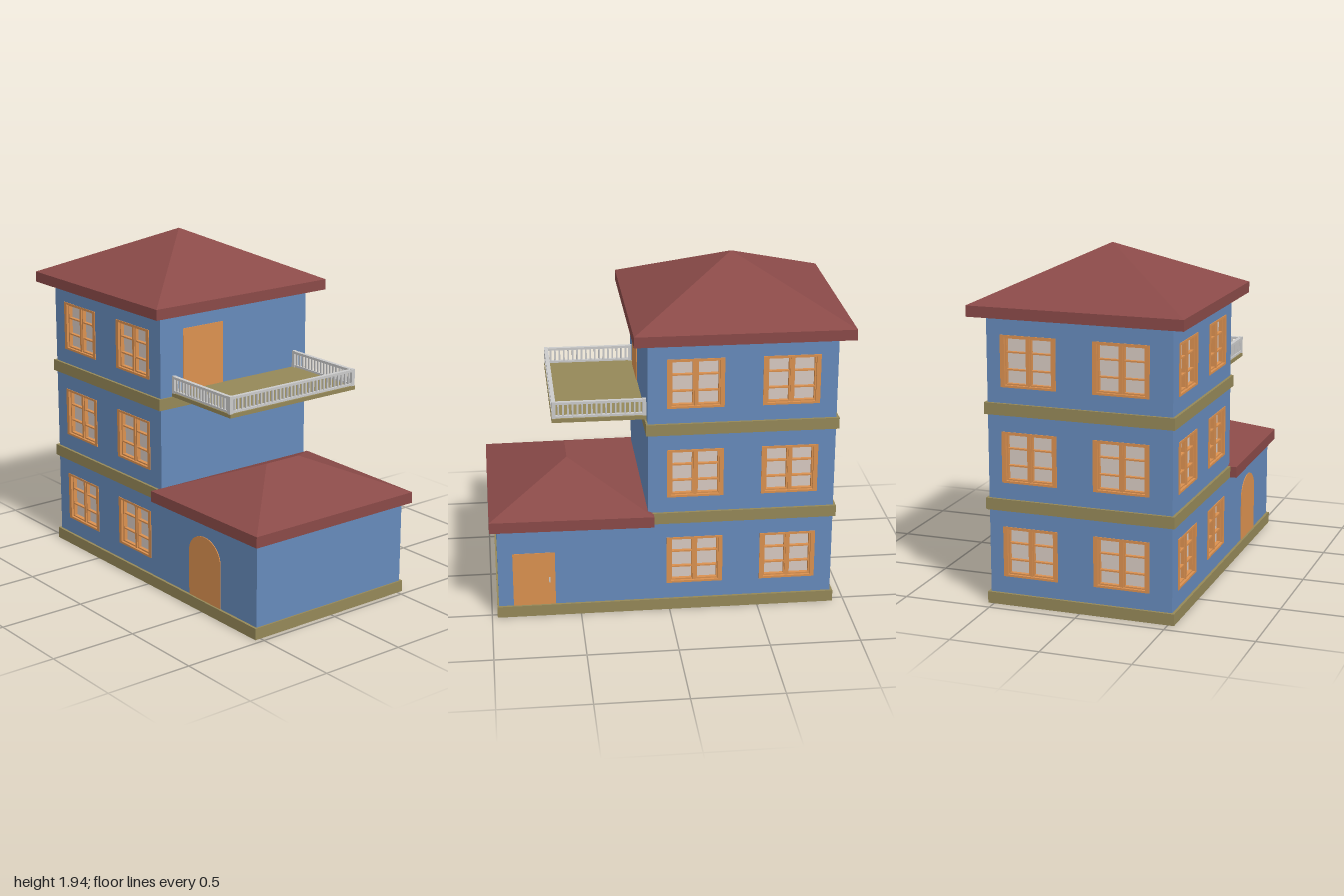
import * as THREE from 'three';
import { ConvexGeometry } from 'three/addons/geometries/ConvexGeometry.js';

const mat = (color) => new THREE.MeshStandardMaterial({ color, flatShading: true });
const WALL = mat(0x668abb), ROOF = mat(0x8a4a48), STONE = mat(0x958858);
const WOOD = mat(0xdb9150), GLASS = mat(0xd8cac2), GREY = mat(0xcccccc);
const T = 0.04; // wall thickness

function add(parent, name, geometry, material) {
  const mesh = new THREE.Mesh(geometry, material);
  mesh.name = name;
  parent.add(mesh);
  return mesh;
}

// Box given by its limits
function box(parent, name, material, x0, x1, y0, y1, z0, z1) {
  const m = add(parent, name, new THREE.BoxGeometry(x1 - x0, y1 - y0, z1 - z0), material);
  m.position.set((x0 + x1) / 2, (y0 + y1) / 2, (z0 + z1) / 2);
  return m;
}

function group(parent, name) {
  const g = new THREE.Group();
  g.name = name;
  parent.add(g);
  return g;
}

const poly = (pts) => pts.map(([x, y]) => new THREE.Vector2(x, y));
const rect = (x0, x1, y0, y1) => poly([[x0, y0], [x1, y0], [x1, y1], [x0, y1]]);

// Opening with an elliptical head
function arch(cx, halfW, y0, spring, rise) {
  const pts = [[cx - halfW, y0], [cx + halfW, y0]];
  for (let i = 0; i <= 20; i++) {
    const a = (Math.PI * i) / 20;
    pts.push([cx + halfW * Math.cos(a), spring + rise * Math.sin(a)]);
  }
  return poly(pts);
}

function slab(outline, holes, depth) {
  const s = new THREE.Shape(outline);
  s.holes = holes.map((h) => new THREE.Path(h));
  return new THREE.ExtrudeGeometry(s, { depth, bevelEnabled: false });
}

// Wall with its outer face on local z = 0, facing +z
function wall(parent, name, outline, holes, position, angle) {
  const g = group(parent, name);
  g.position.set(...position);
  g.rotation.y = angle;
  add(g, name + 'Panel', slab(outline, holes, T), WALL).position.z = -T;
  return g;
}

// Flat ring around the building: stone course
function course(parent, name, x1, y0, y1, holeX1) {
  const g = slab(rect(-0.935, x1, -0.535, 0.535), [rect(-0.885, holeX1, -0.485, 0.485)], y1 - y0);
  g.rotateX(-Math.PI / 2);
  add(parent, name, g, STONE).position.y = y0;
}

const WIN_W = 0.315, WIN_H = 0.283, SILLS = [0.16, 0.69, 1.217];
const windowHole = (u, y) => rect(u - WIN_W / 2, u + WIN_W / 2, y, y + WIN_H);

// Two-sash window, three panes high in each sash
function windowUnit(parent, u, y) {
  const g = group(parent, 'window');
  g.position.set(u, y, 0);
  const w = WIN_W / 2, h = WIN_H, b = 0.024;
  add(g, 'windowFrame', slab(rect(-w, w, 0, h), [rect(-w + b, w - b, b * 0.5, h - b * 0.5)], T + 0.004), WOOD).position.z = -T;
  box(g, 'windowGlass', GLASS, -w + b, w - b, 0.01, h - 0.01, -T + 0.002, -T + 0.008);
  box(g, 'windowMullion', WOOD, -0.008, 0.008, 0.01, h - 0.01, -T, -0.004);
  for (const s of [-1, 1]) {
    const c = s * (w - b + 0.008) / 2, hw = (w - b - 0.008) / 2;
    const sash = slab(rect(c - hw, c + hw, 0.012, h - 0.012), [rect(c - hw + 0.008, c + hw - 0.008, 0.02, h - 0.02)], 0.024);
    add(g, 'sash', sash, WOOD).position.z = -0.034;
    for (const k of [1, 2]) {
      const my = (h * k) / 3;
      box(g, 'glazingBar', WOOD, c - hw, c + hw, my - 0.004, my + 0.004, -0.034, -0.012);
    }
  }
}

function arrangeWindows(parent, us) {
  for (const y of SILLS) for (const u of us) windowUnit(parent, u, y);
}
const windowHoles = (us) => SILLS.flatMap((y) => us.map((u) => windowHole(u, y)));

// Arched double door with fanlight
function frontDoor(parent) {
  const g = group(parent, 'frontDoor');
  const c = 0.513;
  add(g, 'doorFrame', slab(arch(c, 0.138, 0.065, 0.325, 0.115), [arch(c, 0.105, 0.064, 0.335, 0.09)], T + 0.004), WOOD).position.z = -T;
  add(g, 'innerFrame', slab(arch(c, 0.105, 0.065, 0.335, 0.09), [arch(c, 0.09, 0.07, 0.345, 0.068)], 0.03), GREY).position.z = -T;
  add(g, 'doorPanel', slab(arch(c, 0.1, 0.065, 0.335, 0.085), [], 0.01), GREY).position.z = -T;
  box(g, 'transom', GREY, c - 0.1, c + 0.1, 0.333, 0.348, -T, -0.004);
  for (const s of [-1, 1]) {
    for (const x of [0.008, 0.086]) box(g, 'stile', GREY, c + s * x - 0.007, c + s * x + 0.007, 0.065, 0.335, -T, -0.014);
    for (const y of [0.075, 0.203, 0.325]) {
      const m = c + s * 0.047;
      box(g, 'doorRail', GREY, m - 0.04, m + 0.04, y - 0.007, y + 0.007, -T, -0.014);
    }
  }
}

// Plain service door
function backDoor(parent, u) {
  const g = group(parent, 'backDoor');
  const w = 0.118;
  add(g, 'doorFrame', slab(rect(u - w, u + w, 0.065, 0.385), [rect(u - w + 0.014, u + w - 0.014, 0.064, 0.371)], T + 0.003), WOOD).position.z = -T;
  box(g, 'doorLeaf', GREY, u - w + 0.01, u + w - 0.01, 0.065, 0.375, -0.03, -0.015);
  box(g, 'doorTopRail', GREY, u - w + 0.014, u + w - 0.014, 0.33, 0.34, -0.015, -0.009);
  box(g, 'doorHandle', GREY, u + w - 0.035, u + w - 0.027, 0.2, 0.235, -0.015, 0.006);
}

// Glazed double door to the balcony
function balconyDoor(parent, u) {
  const g = group(parent, 'balconyDoor');
  const w = 0.138, y0 = 1.13, y1 = 1.505;
  add(g, 'doorFrame', slab(rect(u - w, u + w, y0, y1), [rect(u - w + 0.014, u + w - 0.014, y0 - 0.001, y1 - 0.014)], T + 0.004), WOOD).position.z = -T;
  box(g, 'doorGlass', GLASS, u - w + 0.01, u + w - 0.01, y0, y1 - 0.01, -0.034, -0.028);
  for (const s of [-1, 1]) {
    const a = u + s * 0.062;
    const leaf = slab(rect(a - 0.061, a + 0.061, y0, y1 - 0.014), [rect(a - 0.036, a + 0.036, 1.19, 1.312), rect(a - 0.036, a + 0.036, 1.325, 1.482)], 0.025);
    add(g, 'doorLeaf', leaf, WOOD).position.z = -0.038;
  }
}

// Straight railing run between two points at floor height
function railing(parent, x0, z0, x1, z1, y) {
  const len = Math.hypot(x1 - x0, z1 - z0);
  const g = group(parent, 'railing');
  g.position.set(x0, y, z0);
  g.rotation.y = -Math.atan2(z1 - z0, x1 - x0);
  box(g, 'bottomRail', GREY, 0, len, 0.005, 0.017, -0.009, 0.009);
  box(g, 'topRail', GREY, 0, len, 0.083, 0.097, -0.011, 0.011);
  const n = Math.round(len / 0.026);
  for (let i = 1; i < n; i++) {
    const x = (len * i) / n;
    box(g, 'baluster', GREY, x - 0.005, x + 0.005, 0.015, 0.085, -0.005, 0.005);
  }
  for (const x of [0, len]) box(g, 'railPost', GREY, x - 0.011, x + 0.011, 0, 0.099, -0.011, 0.011);
}

// Hipped roof: eave corners [x, z], eave heights, ridge points [x, y, z]
function hipRoof(parent, name, corners, y0, y1, ridge) {
  const pts = ridge.map((p) => new THREE.Vector3(...p));
  for (const [x, z] of corners) pts.push(new THREE.Vector3(x, y0, z), new THREE.Vector3(x, y1, z));
  add(parent, name, new ConvexGeometry(pts), ROOF);
}

export function createModel() {
  const house = new THREE.Group();
  house.name = 'house';

  // Walls with doors and windows
  const front = [-0.667, -0.142], back = front.map((x) => -x), side = [-0.285, 0.235];
  const step = [[-0.92, 0], [0.96, 0], [0.96, 0.54], [0.12, 0.54], [0.12, 1.6], [-0.92, 1.6]];
  const fw = wall(house, 'frontWall', poly(step), [...windowHoles(front), arch(0.513, 0.136, 0.066, 0.325, 0.113)], [0, 0, 0.52], 0);
  arrangeWindows(fw, front);
  frontDoor(fw);
  const bw = wall(house, 'backWall', poly(step.map(([x, y]) => [-x, y]).reverse()), [...windowHoles(back), rect(-0.875, -0.643, 0.066, 0.384)], [0, 0, -0.52], Math.PI);
  arrangeWindows(bw, back);
  backDoor(bw, -0.759);
  const inner = 0.52 - T;
  const sw = wall(house, 'towerOuterSideWall', rect(-inner, inner, 0, 1.6), windowHoles(side), [-0.92, 0, 0], -Math.PI / 2);
  arrangeWindows(sw, side);
  const tw = wall(house, 'towerBalconyWall', rect(-inner, inner, 0.03, 1.6), [rect(-0.364, -0.092, 1.131, 1.503)], [0.12, 0, 0], Math.PI / 2);
  balconyDoor(tw, -0.228);
  wall(house, 'wingSideWall', rect(-inner, inner, 0, 0.54), [], [0.96, 0, 0], Math.PI / 2);

  // Stone courses; the lowest one includes the wing floor
  course(house, 'baseCourse', 0.97, 0, 0.065, 0.08);
  course(house, 'lowerCourse', 0.13, 0.535, 0.6, 0.08);
  course(house, 'upperCourse', 0.13, 1.065, 1.13, 0.08);

  // Roofs
  hipRoof(house, 'towerRoof', [[-1, -0.6], [0.2, -0.6], [0.2, 0.6], [-1, 0.6]], 1.6, 1.66, [[-0.4, 1.94, 0]]);
  hipRoof(house, 'wingRoof', [[0.09, -0.575], [1, -0.56], [1, 0.555], [0.09, 0.572]], 0.535, 0.598,
    [[0.545, 0.785, -0.115], [0.545, 0.785, 0.115]]);

  // Balcony
  const balcony = group(house, 'balcony');
  box(balcony, 'balconyFloor', STONE, 0.11, 0.637, 1.13, 1.152, -0.445, 0.442);
  const bx = 0.625, bz = 0.432;
  railing(balcony, 0.13, bz, bx, bz, 1.15);
  railing(balcony, bx, bz, bx, -bz, 1.15);
  railing(balcony, 0.13, -bz, bx, -bz, 1.15);
  return house;
}
